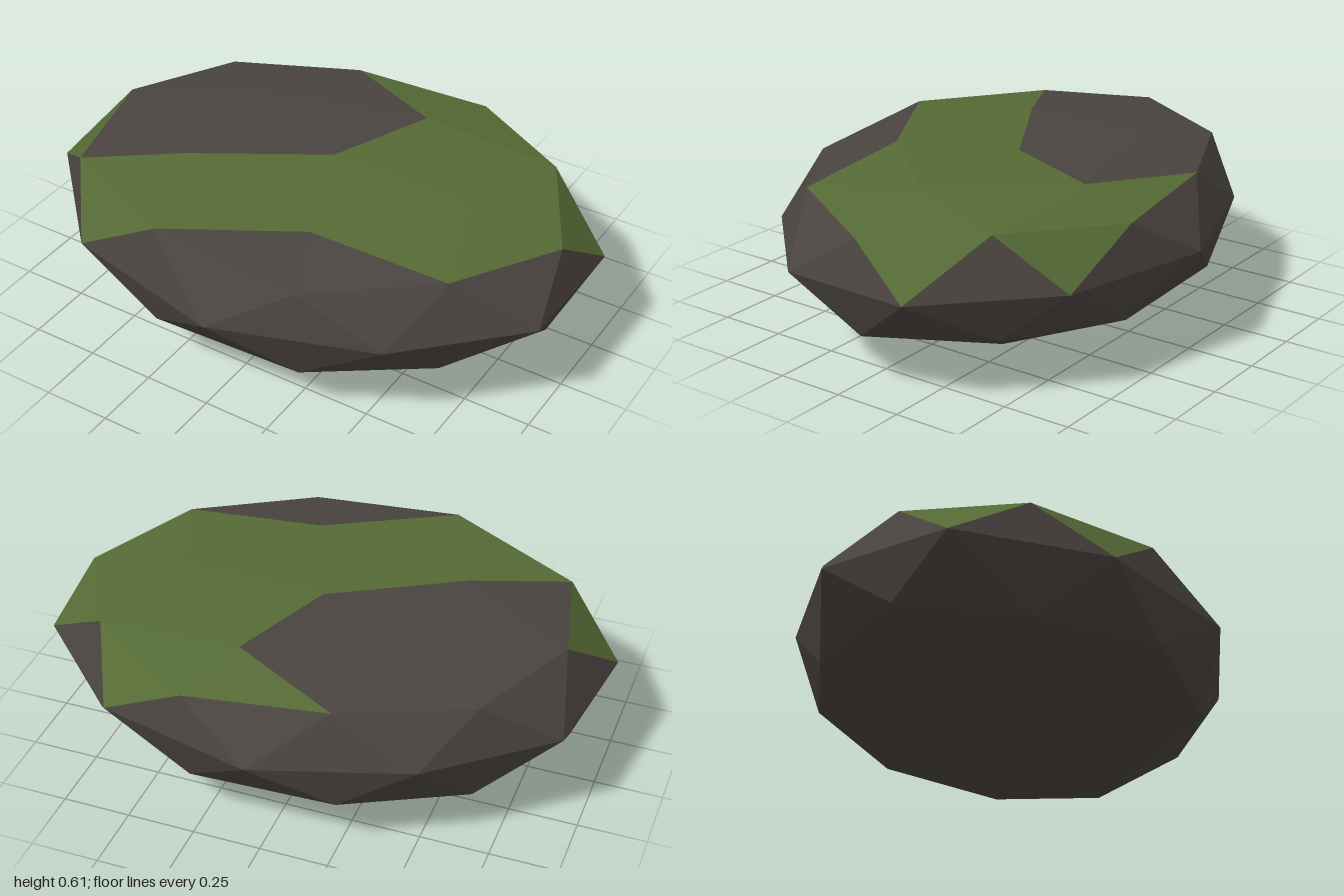
import * as THREE from 'three';

// Flattened, slightly irregular low-poly boulder: rings of points from top to bottom,
// each ring running from +x towards +z.
const TOP = [0.03, 0.602, -0.04];
const BOTTOM = [0.03, 0, -0.03];
const CAP = [[0.58, 0.605, -0.03], [0.2, 0.597, 0.39], [-0.43, 0.597, 0.23], [-0.39, 0.597, -0.28], [0.19, 0.597, -0.43]];
const SHOULDER = [
  [0.94, 0.547, -0.04], [0.72, 0.574, 0.36], [0.31, 0.549, 0.65], [-0.26, 0.592, 0.65], [-0.77, 0.557, 0.41],
  [-0.865, 0.58, -0.03], [-0.67, 0.56, -0.43], [-0.22, 0.565, -0.63], [0.3, 0.545, -0.69], [0.72, 0.575, -0.43],
];
const RIM = [
  [0.99, 0.21], [0.61, 0.59], [0.03, 0.79], [-0.6, 0.64], [-1, 0.22],
  [-0.93, -0.28], [-0.52, -0.62], [0.03, -0.8], [0.61, -0.66], [1, -0.28],
].map(([x, z]) => [x, 0.385, z]);
const BELLY = [
  [0.91, 0.187, -0.03], [0.71, 0.218, 0.38], [0.3, 0.185, 0.62], [-0.26, 0.212, 0.67], [-0.69, 0.183, 0.38],
  [-0.9, 0.218, -0.03], [-0.66, 0.187, -0.43], [-0.25, 0.21, -0.67], [0.29, 0.19, -0.67], [0.73, 0.215, -0.46],
];
const BASE = [[0.49, 0.056, 0.23], [-0.13, 0.058, 0.38], [-0.5, 0.078, -0.03], [-0.14, 0.08, -0.42], [0.46, 0.06, -0.28]];

// Moss-covered facets, by kind and position around the stone
const MOSS = {
  crown: [0, 1, 4],
  link: [0, 1, 4],
  before: [0, 2, 4],
  after: [0, 4],
  shoulder: [3, 4, 8, 9],
};

function facetMesh(name, facets, material) {
  const centre = new THREE.Vector3(0, 0.385, 0);
  const points = [];
  for (const facet of facets) {
    const [a, b, c] = facet.map((p) => new THREE.Vector3(...p));
    const normal = b.clone().sub(a).cross(c.clone().sub(a));
    // Turn every facet outwards
    if (normal.dot(a.clone().sub(centre)) < 0) points.push(a, c, b);
    else points.push(a, b, c);
  }
  const geometry = new THREE.BufferGeometry().setFromPoints(points);
  geometry.computeVertexNormals();
  const mesh = new THREE.Mesh(geometry, material);
  mesh.name = name;
  return mesh;
}

export function createModel() {
  const stone = new THREE.MeshStandardMaterial({ color: 0x4a4440, flatShading: true });
  stone.name = 'stone';
  const moss = new THREE.MeshStandardMaterial({ color: 0x556b35, flatShading: true });
  moss.name = 'moss';

  const rock = [];
  const green = [];
  const add = (kind, i, ...facet) => (MOSS[kind]?.includes(i) ? green : rock).push(facet);

  for (let i = 0; i < 5; i++) {
    const j = (i + 1) % 5;
    const k = 2 * i;
    // Flat top
    add('crown', i, TOP, CAP[i], CAP[j]);
    add('link', i, CAP[i], CAP[j], SHOULDER[k + 1]);
    add('after', i, CAP[i], SHOULDER[k], SHOULDER[k + 1]);
    add('before', i, CAP[i], SHOULDER[k], SHOULDER[(k + 9) % 10]);
    // Underside
    add('under', i, BOTTOM, BASE[i], BASE[j]);
    add('under', i, BASE[i], BASE[j], BELLY[(k + 2) % 10]);
    add('under', i, BASE[i], BELLY[k], BELLY[k + 1]);
    add('under', i, BASE[i], BELLY[k + 1], BELLY[(k + 2) % 10]);
  }

  // Bands above and below the rim
  for (let i = 0; i < 10; i++) {
    const j = (i + 1) % 10;
    add('shoulder', i, SHOULDER[i], SHOULDER[j], RIM[i]);
    add('side', i, SHOULDER[j], RIM[i], RIM[j]);
    add('side', i, BELLY[i], BELLY[j], RIM[i]);
    add('side', i, BELLY[j], RIM[i], RIM[j]);
  }

  const model = new THREE.Group();
  model.name = 'mossyRock';
  model.add(facetMesh('rockBody', rock, stone), facetMesh('mossPatches', green, moss));
  return model;
}
